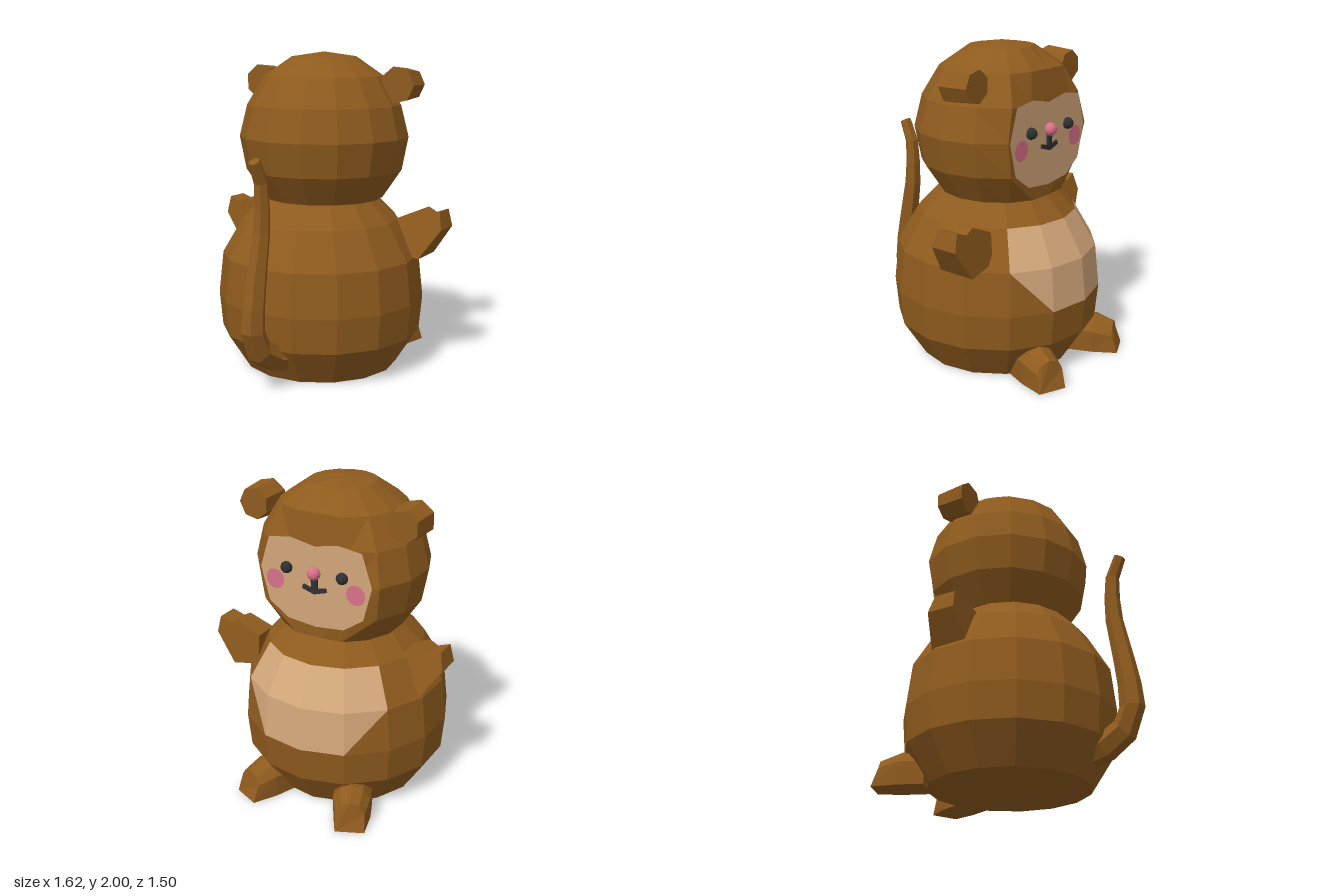
import * as THREE from 'three';

const mat = (color) => new THREE.MeshStandardMaterial({ color, flatShading: true, side: THREE.DoubleSide });
const FUR = mat(0x8f5b1e), SKIN = mat(0xd2a679), PINK = mat(0xd9708a), DARK = mat(0x2e3032);
const SIDES = 15, STEP = (Math.PI * 2) / SIDES, PHASE = THREE.MathUtils.degToRad(-56);
const TILT = 0.08; // the whole figure is turned slightly off the x axis

function add(parent, name, geometry, material, pos = [0, 0, 0]) {
  const mesh = new THREE.Mesh(geometry, material);
  mesh.name = name;
  mesh.position.set(...pos);
  parent.add(mesh);
  return mesh;
}

// Faceted solid of rings [y, radius]; keep(i, j, tri) selects triangles
function rings(profile, cx, keep = () => true, adjust = (p) => p) {
  const at = (i, j) => {
    const [y, r] = profile[i], a = PHASE + j * STEP;
    return adjust(new THREE.Vector3(cx + r * Math.cos(a), y, r * Math.sin(a)));
  };
  const pts = [];
  for (let i = 0; i < profile.length - 1; i++) {
    for (let j = 0; j < SIDES; j++) {
      const a = at(i, j), b = at(i + 1, j), c = at(i, j + 1), d = at(i + 1, j + 1);
      const tris = j >= 2 ? [[a, b, d], [a, d, c]] : [[a, b, c], [c, b, d]];
      tris.forEach((t, k) => { if (keep(i, j, k)) pts.push(...t); });
    }
  }
  const g = new THREE.BufferGeometry().setFromPoints(pts);
  g.computeVertexNormals();
  return g;
}

// Flat shape from points
const shape = (pts) => new THREE.Shape(pts.map((p) => new THREE.Vector2(...p)));

function buildBody(root) {
  const profile = [[0, 0], [0, 0.5], [0.23, 0.645], [0.45, 0.665], [0.72, 0.635], [0.95, 0.5], [1.08, 0.37], [1.08, 0]];
  // Belly patch: four columns on top, narrowing to two below
  const belly = (i, j, k) =>
    (i === 4 && j < 4) ||
    (i === 3 && (j === 1 || j === 2 || (j === 0 && k === 1) || (j === 3 && k === 0)));
  add(root, 'body', rings(profile, 0.055, (...t) => !belly(...t)), FUR);
  add(root, 'belly', rings(profile, 0.055, belly), SKIN);
}

function buildHead(root) {
  const profile = [[1.08, 0], [1.08, 0.38], [1.26, 0.5], [1.47, 0.54], [1.67, 0.49], [1.85, 0.38], [1.97, 0.205], [2, 0]];
  // Flatten the front to a plane that carries the face
  const flatten = (p) => {
    p.x = Math.min(p.x, 0.44 + TILT * p.z - (p.y > 1.8 ? 0.025 : 0));
    return p;
  };
  add(root, 'head', rings(profile, 0.09, undefined, flatten), FUR);

  // Ears: short faceted drums, narrower toward the front
  for (const s of [1, -1]) {
    const g = new THREE.CylinderGeometry(0.1, 0.115, 0.19, 7);
    g.rotateZ(-Math.PI / 2);
    const ear = add(root, s > 0 ? 'rightEar' : 'leftEar', g, FUR, [0.195 + 0.06 * s, 1.8, 0.485 * s]);
    ear.rotation.y = TILT;
  }
}

function buildFace(root) {
  const face = new THREE.Group();
  face.name = 'face';
  face.position.set(0.443, 0, -0.035);
  face.rotation.y = Math.PI / 2 + TILT;
  root.add(face);

  // Mask outline, mirrored about its middle
  const half = [[0.16, 1.69], [0.31, 1.67], [0.375, 1.47], [0.32, 1.26], [0.19, 1.17]];
  const outline = [[0, 1.66], ...half, [0, 1.15], ...half.map(([x, y]) => [-x, y]).reverse()];
  add(face, 'mask', new THREE.ShapeGeometry(shape(outline)), SKIN);

  for (const s of [1, -1]) {
    add(face, 'eye', new THREE.IcosahedronGeometry(0.037, 1), DARK, [0.187 * s, 1.5, 0.01]);
    add(face, 'cheek', new THREE.CircleGeometry(0.062, 24), PINK, [0.272 * s, 1.41, 0.005]);
  }
  add(face, 'nose', new THREE.IcosahedronGeometry(0.042, 1), PINK, [0, 1.495, 0.012]);

  // Mouth: a stem running into a shallow smile
  const mouth = [[-0.02, 1.47], [-0.02, 1.4], [-0.075, 1.415], [-0.08, 1.39], [0, 1.365],
    [0.08, 1.39], [0.075, 1.415], [0.02, 1.4], [0.02, 1.47]];
  add(face, 'mouth', new THREE.ExtrudeGeometry(shape(mouth), { depth: 0.014, bevelEnabled: false }), DARK);
}

function buildArms(root) {
  // Mitten outline in the z-y plane, thinner toward the hand
  const pts = [[0.42, 0.95], [0.42, 0.76], [0.61, 0.72], [0.74, 0.91], [0.715, 1.02], [0.635, 0.99], [0.58, 1.02]];
  for (const s of [1, -1]) {
    const g = new THREE.ExtrudeGeometry(shape(pts), { depth: 0.24, bevelEnabled: false });
    g.translate(0, 0, -0.12);
    const p = g.attributes.position;
    for (let i = 0; i < p.count; i++) {
      const k = THREE.MathUtils.clamp((p.getY(i) - 0.72) / 0.3, 0, 1);
      p.setZ(i, p.getZ(i) * (1 - 0.42 * k) + 0.03 * k);
    }
    g.rotateY(-Math.PI / 2 * s);
    if (s < 0) g.scale(-1, 1, 1);
    g.computeVertexNormals();
    // Both mittens lean the same way along x
    const arm = add(root, s > 0 ? 'rightArm' : 'leftArm', g, FUR, [0.2 + 0.075 * s, 0, 0]);
    if (s > 0) g.scale(-1, 1, 1);
    arm.rotation.y = TILT;
    arm.position.z = TILT * arm.position.x;
  }
}

function buildFeet(root) {
  const section = [[-0.115, 0], [0.115, 0], [0.115, 0.14], [0.07, 0.2], [0, 0.23], [-0.07, 0.2], [-0.115, 0.14]];
  const feet = [['rightFoot', 0.48, 0.19, 18], ['leftFoot', 0.44, -0.31, -28]];
  for (const [name, x, z, deg] of feet) {
    const g = new THREE.ExtrudeGeometry(shape(section), { depth: 0.32, steps: 2, bevelEnabled: false });
    const p = g.attributes.position;
    for (let i = 0; i < p.count; i++) {
      // Toe end is lower and slimmer
      if (p.getZ(i) > 0.3) p.setXYZ(i, p.getX(i) * 0.78, p.getY(i) * 0.8, p.getY(i) > 0.1 ? 0.28 : 0.32);
    }
    g.rotateY(Math.PI / 2);
    g.computeVertexNormals();
    add(root, name, g, FUR, [x, 0, z]).rotation.y = -THREE.MathUtils.degToRad(deg);
  }
}

function buildTail(root) {
  const path = [[-0.42, 0.16], [-0.58, 0.19], [-0.73, 0.31], [-0.74, 0.48], [-0.7, 0.74],
    [-0.655, 0.98], [-0.65, 1.2], [-0.665, 1.3], [-0.715, 1.395]];
  const curve = new THREE.CatmullRomCurve3(path.map(([x, y]) => new THREE.Vector3(x, y, 0.085)), false, 'centripetal');
  const SEG = 10, RAD = 6;
  const g = new THREE.TubeGeometry(curve, SEG, 1, RAD);
  const p = g.attributes.position, v = new THREE.Vector3();
  const radius = (t) => 0.092 - 0.055 * t;
  for (let i = 0; i < p.count; i++) {
    const t = Math.floor(i / (RAD + 1)) / SEG, c = curve.getPointAt(t);
    v.fromBufferAttribute(p, i).sub(c).multiplyScalar(radius(t)).add(c);
    p.setXYZ(i, v.x, v.y, v.z);
  }
  g.computeVertexNormals();
  add(root, 'tail', g, FUR);
  const tip = add(root, 'tailTip', new THREE.CircleGeometry(radius(1), RAD), FUR, curve.getPoint(1).toArray());
  tip.lookAt(curve.getPoint(1).add(curve.getTangent(1)));
}

export function createModel() {
  const root = new THREE.Group();
  root.name = 'sittingMonkey';
  buildBody(root);
  buildHead(root);
  buildFace(root);
  buildArms(root);
  buildFeet(root);
  buildTail(root);
  return root;
}
